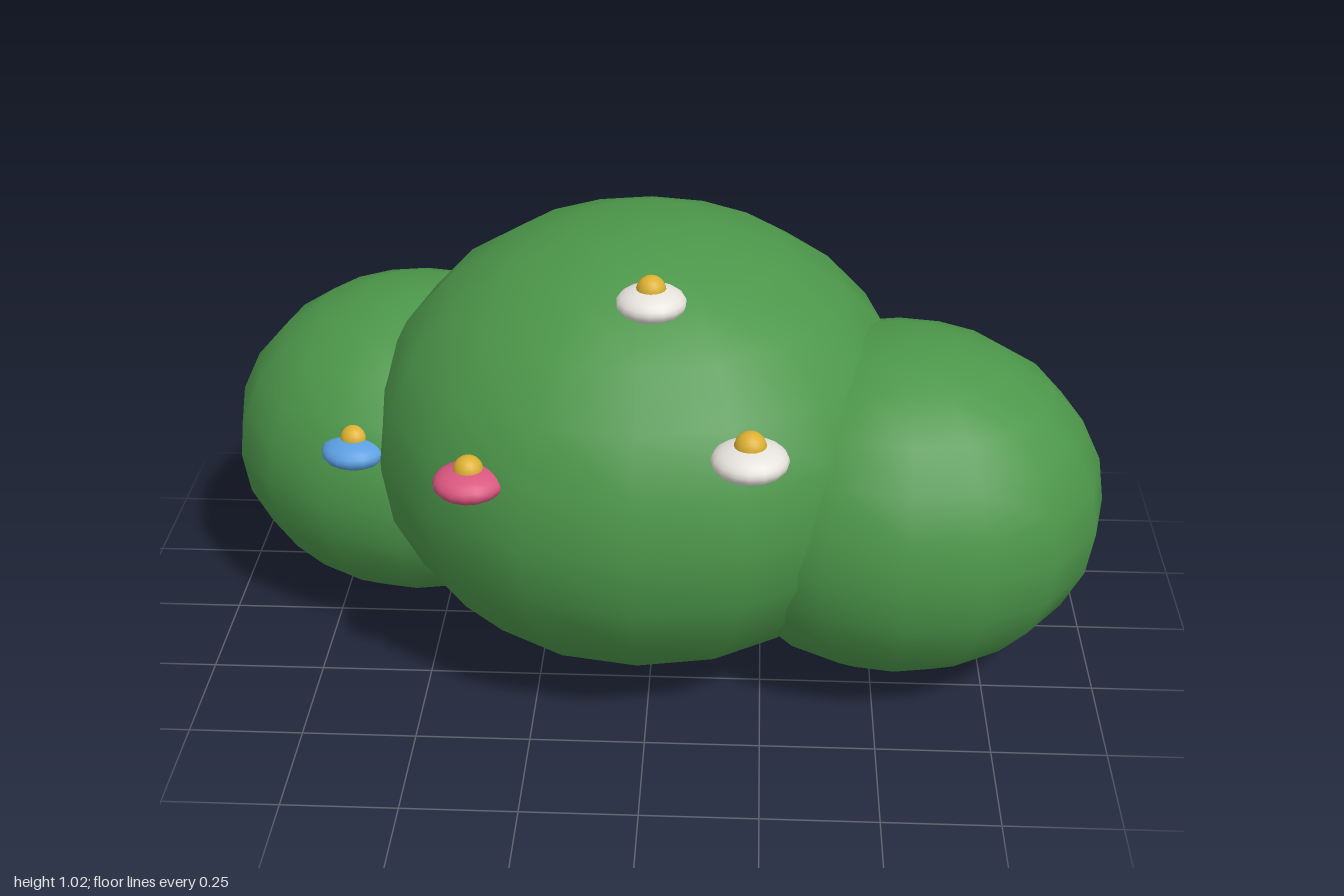
import * as THREE from 'three';

const mat = (name, color) => {
  const m = new THREE.MeshStandardMaterial({ color });
  m.name = name;
  return m;
};

export function createModel() {
  const leaf = mat('leaf green', 0x4c964a);
  const white = mat('petal white', 0xe6e2dc);
  const pink = mat('petal pink', 0xd9567f);
  const blue = mat('petal blue', 0x5a9ee0);
  const yellow = mat('flower centre yellow', 0xdcb032);

  const model = new THREE.Group();
  model.name = 'bush';

  // Ellipsoid from a unit sphere
  const ellipsoid = (parent, name, geometry, material, pos, radii) => {
    const mesh = new THREE.Mesh(geometry, material);
    mesh.name = name;
    mesh.position.set(...pos);
    mesh.scale.set(...radii);
    parent.add(mesh);
  };

  // Three overlapping foliage clumps
  const clump = new THREE.SphereGeometry(1, 16, 12);
  ellipsoid(model, 'middleClump', clump, leaf, [-0.02, 0.515, 0], [0.615, 0.51, 0.6]);
  ellipsoid(model, 'leftClump', clump, leaf, [0.545, 0.425, 0.12], [0.455, 0.39, 0.41]);
  ellipsoid(model, 'rightClump', clump, leaf, [-0.567, 0.395, -0.2], [0.433, 0.375, 0.41]);

  // Flowers: flattened petal disc with a round centre on top
  const bead = new THREE.SphereGeometry(1, 16, 12);
  const flowers = [
    ['topFlower', white, [0.005, 0.953, 0.272], 0.075],
    ['leftFlower', white, [0.215, 0.728, 0.527], 0.08],
    ['rightFlower', pink, [-0.36, 0.637, 0.48], 0.075],
    ['sideFlower', blue, [-0.66, 0.52, 0.142], 0.075],
  ];
  for (const [name, material, pos, r] of flowers) {
    const flower = new THREE.Group();
    flower.name = name;
    flower.position.set(...pos);
    ellipsoid(flower, 'petals', bead, material, [0, 0, 0], [r, r * 0.47, r]);
    ellipsoid(flower, 'flowerCentre', bead, yellow, [0, r * 0.38, 0], [r * 0.42, r * 0.42, r * 0.42]);
    model.add(flower);
  }
  return model;
}
